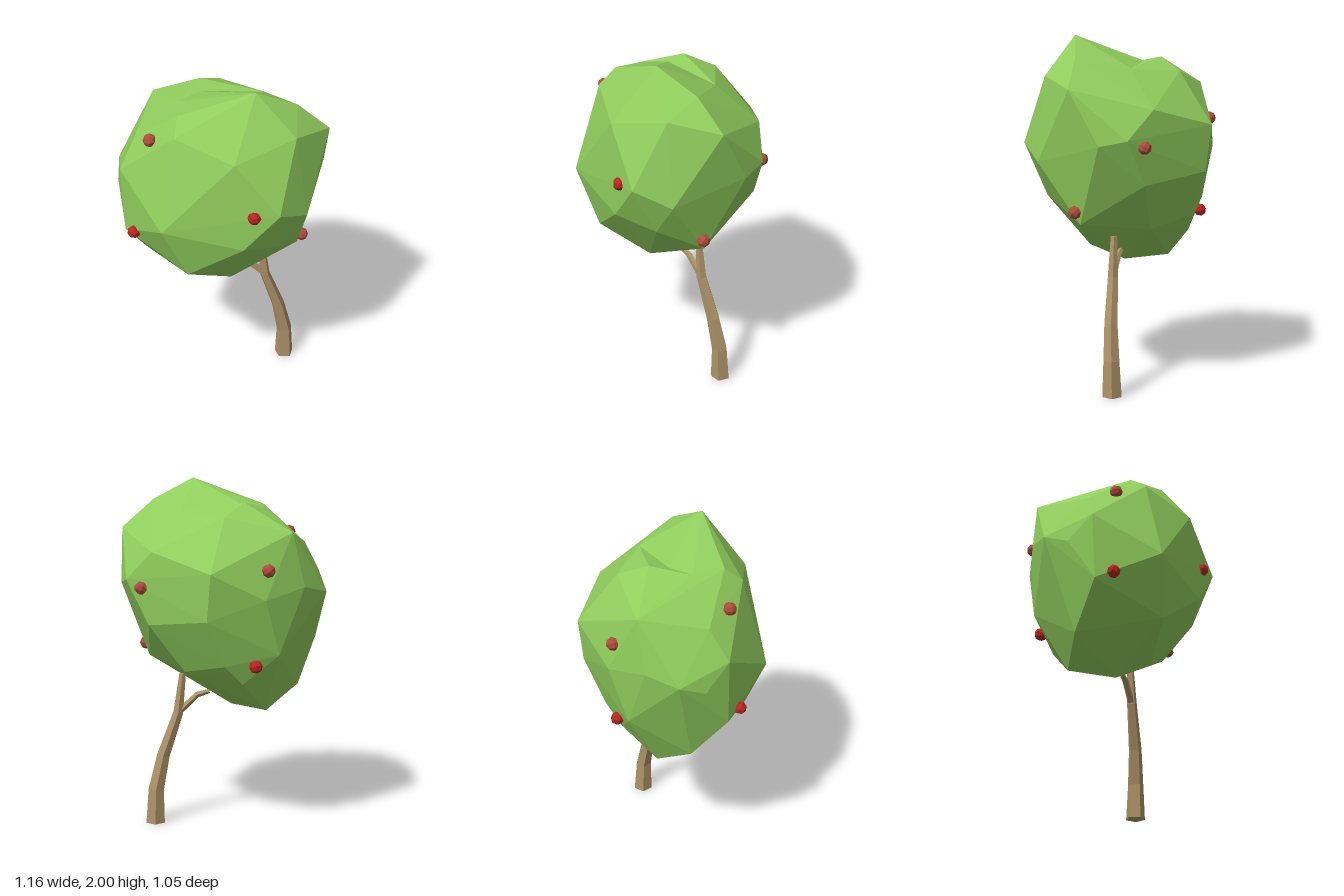
import * as THREE from 'three';
import { ConvexGeometry } from 'three/addons/geometries/ConvexGeometry.js';

const paint = (name, color) => {
  const m = new THREE.MeshStandardMaterial({ color });
  m.name = name;
  return m;
};

// Give every face its own flat normal
function faceted(geometry) {
  const g = geometry.toNonIndexed();
  g.computeVertexNormals();
  return g;
}

// Tapered five-sided limb through stations [x, y, z, radius], flat side to the front
function limb(path, sides = 5) {
  const pos = [], index = [];
  path.forEach(([x, y, z, r], i) => {
    const a = path[Math.max(i - 1, 0)], b = path[Math.min(i + 1, path.length - 1)];
    const len = Math.hypot(b[0] - a[0], b[1] - a[1]);
    const tx = (b[0] - a[0]) / len, ty = (b[1] - a[1]) / len;
    for (let j = 0; j < sides; j++) {
      const t = Math.PI / 2 + (j / sides) * Math.PI * 2;
      const u = Math.cos(t) * r;
      pos.push(x + ty * u, i === 0 ? y : y - tx * u, z - Math.sin(t) * r);
    }
  });
  const last = (path.length - 1) * sides;
  for (let i = 0; i < path.length - 1; i++) {
    for (let j = 0; j < sides; j++) {
      const a = i * sides + j, b = i * sides + (j + 1) % sides;
      index.push(a, b, b + sides, a, b + sides, a + sides);
    }
  }
  for (let j = 1; j < sides - 1; j++) {
    index.push(0, j + 1, j, last, last + j, last + j + 1);
  }
  const g = new THREE.BufferGeometry();
  g.setAttribute('position', new THREE.Float32BufferAttribute(pos, 3));
  g.setIndex(index);
  return faceted(g);
}

// Small faceted ball: a cube with 2 x 2 cells a side, rounded
function fruitGeometry(radius) {
  const g = new THREE.BoxGeometry(1, 1, 1, 2, 2, 2);
  const p = g.attributes.position, v = new THREE.Vector3();
  for (let i = 0; i < p.count; i++) {
    v.fromBufferAttribute(p, i).setLength(radius);
    p.setXYZ(i, v.x, v.y, v.z);
  }
  return faceted(g);
}

// Corner points of the crown, from the underside up
const underside = [
  [-0.24, 0.70, -0.19], [-0.05, 0.695, 0.02], [-0.43, 0.83, -0.06], [0.05, 0.79, 0.2],
  [0.22, 0.87, 0.05], [-0.2, 0.94, 0.37], [-0.1, 0.88, -0.35], [0.43, 0.97, 0.12],
  [0.22, 0.93, -0.22], [0.0, 0.99, -0.41],
];
const middle = [
  [-0.545, 1.08, 0.11], [-0.3, 1.05, -0.38], [0.1, 1.17, 0.48], [0.31, 1.11, 0.36],
  [0.1, 1.25, -0.5], [0.42, 1.2, -0.25], [0.5, 1.2, 0.05], [-0.34, 1.26, 0.425],
  [0.45, 1.31, 0.36], [-0.58, 1.32, -0.04], [-0.22, 1.36, -0.46], [-0.575, 1.38, -0.19],
  [0.29, 1.4, 0.505], [0.58, 1.42, -0.04], [-0.44, 1.42, -0.33], [0.545, 1.45, -0.19],
  [-0.56, 1.47, 0.1], [0.08, 1.51, -0.53],
];
const upperFront = [
  [0.05, 1.69, 0.455], [0.58, 1.72, 0.13], [-0.26, 1.77, 0.3], [0.38, 1.78, 0.34],
];
const upperBack = [
  [0.4, 1.61, -0.29], [-0.47, 1.64, 0.02], [-0.37, 1.72, -0.345],
  [0.24, 1.82, -0.11], [-0.23, 1.84, 0.02],
];
// The crown splits at the top into a front peak and a lower back hump
const frontPeak = [[0.17, 2.0, 0.24], [-0.24, 1.85, 0.2], [0.4, 1.88, 0.155]];
const backHump = [[-0.11, 1.875, -0.18], [0.0, 1.8, -0.32], [0.05, 1.66, -0.39]];
const lobes = {
  frontFoliage: [...underside, ...middle, ...upperBack, ...upperFront, ...frontPeak],
  backFoliage: [...underside, ...middle, ...upperBack, ...backHump],
};

export function createModel() {
  const leaf = paint('leafGreen', 0x91ce5d);
  const bark = paint('barkBrown', 0xae9268);
  const ripe = paint('ripeRed', 0xb8261f);
  const dull = paint('dullRed', 0xae4b3c);

  const tree = new THREE.Group();
  tree.name = 'fruitTree';
  const add = (name, geometry, material, parent = tree) => {
    const mesh = new THREE.Mesh(geometry, material);
    mesh.name = name;
    parent.add(mesh);
    return mesh;
  };

  // Bent trunk and its side branch
  add('trunk', limb([
    [0.398, 0, -0.052, 0.057], [0.393, 0.2, -0.047, 0.047], [0.35, 0.4, -0.03, 0.039],
    [0.262, 0.65, -0.012, 0.03], [0.235, 0.88, -0.01, 0.02],
  ]), bark);
  add('branch', limb([
    [0.275, 0.63, -0.012, 0.022], [0.22, 0.69, -0.01, 0.02],
    [0.15, 0.755, -0.005, 0.018], [0.08, 0.775, 0, 0.014],
  ]), bark);

  // Leafy crown
  const crown = new THREE.Group();
  crown.name = 'crown';
  tree.add(crown);
  for (const [name, corners] of Object.entries(lobes)) {
    add(name, new ConvexGeometry(corners.map((c) => new THREE.Vector3(...c))), leaf, crown);
  }

  // Fruit sitting on the crown's surface
  const fruits = new THREE.Group();
  fruits.name = 'fruits';
  tree.add(fruits);
  const ball = fruitGeometry(0.038);
  const spots = [
    [-0.39, 1.69, 0.17, dull], [0.155, 1.385, 0.485, ripe], [-0.495, 1.12, 0.2, ripe],
    [0.45, 1.04, 0.145, dull], [0.46, 1.41, -0.26, dull], [-0.235, 1.52, -0.435, dull],
    [-0.17, 0.99, -0.4, ripe],
  ];
  spots.forEach(([x, y, z, material], i) => {
    const fruit = add('fruit' + (i + 1), ball, material, fruits);
    fruit.position.set(x, y, z);
    fruit.rotation.set(0.3 * i, 0.5 * i, 0);
  });

  return tree;
}
